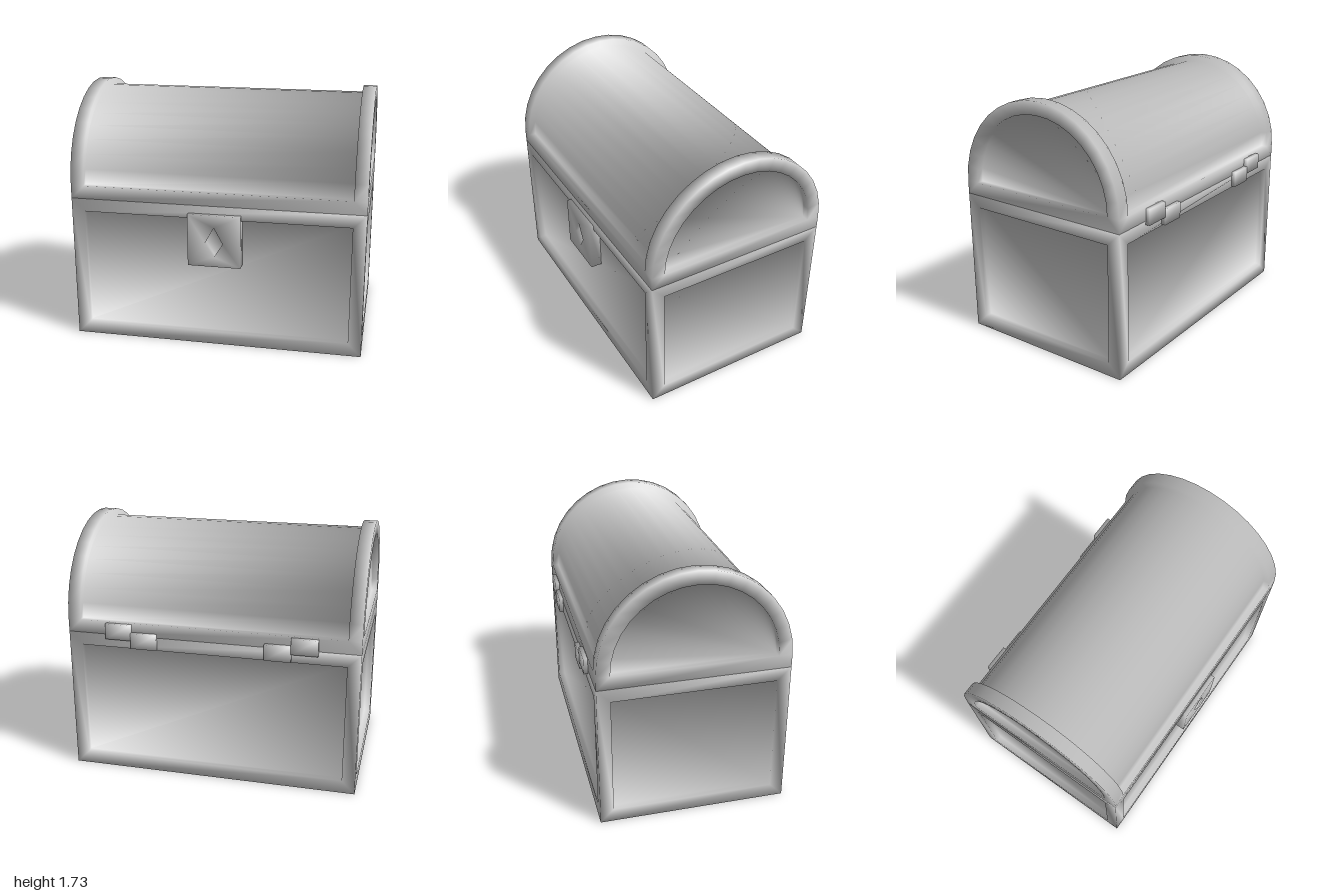
import * as THREE from 'three';

const W = 1, D = 0.636, H = 1;        // half width, half depth, body height
const RIM = 0.09, INSET = 0.045;      // frame width and panel recess
const SPRING = H + RIM;               // height where the lid arch begins
const V = (x, y, z) => new THREE.Vector3(x, y, z);

// Collects convex faces and gives them soft normals shared by touching corners
class Soft {
  constructor() { this.tris = []; this.sums = new Map(); }
  key(p) { return [p.x, p.y, p.z].map(n => Math.round(n * 1e4)).join(); }
  face(points, out) {
    const n = V(0, 0, 0);
    points.forEach((p, i) => n.add(p.clone().cross(points[(i + 1) % points.length])));
    n.normalize();
    let loop = points;
    if (n.dot(out) < 0) { n.negate(); loop = [...points].reverse(); }
    for (const p of loop) {
      const k = this.key(p);
      if (!this.sums.has(k)) this.sums.set(k, V(0, 0, 0));
      this.sums.get(k).add(n);
    }
    for (let i = 1; i < loop.length - 1; i++) this.tris.push(loop[0], loop[i], loop[i + 1]);
  }
  mesh(name, material) {
    const pos = [], nor = [];
    for (const p of this.tris) {
      const n = this.sums.get(this.key(p)).clone().normalize();
      pos.push(p.x, p.y, p.z);
      nor.push(n.x, n.y, n.z);
    }
    const g = new THREE.BufferGeometry();
    g.setAttribute('position', new THREE.Float32BufferAttribute(pos, 3));
    g.setAttribute('normal', new THREE.Float32BufferAttribute(nor, 3));
    const m = new THREE.Mesh(g, material);
    m.name = name;
    return m;
  }
}

// Box whose sides may be framed, recessed panels
function panelBox(center, half, framed, skip = () => false) {
  const s = new Soft(), axes = ['x', 'y', 'z'];
  axes.forEach((a, i) => [-1, 1].forEach(sign => {
    if (skip(a, sign)) return;
    const b = axes[(i + 1) % 3], c = axes[(i + 2) % 3];
    const ring = (rim, depth) => [[-1, -1], [1, -1], [1, 1], [-1, 1]].map(([u, v]) => {
      const p = center.clone();
      p[a] += sign * (half[a] - depth);
      p[b] += u * (half[b] - rim);
      p[c] += v * (half[c] - rim);
      return p;
    });
    const out = V(0, 0, 0);
    out[a] = sign;
    const outer = ring(0, 0);
    if (!framed(a, sign)) { s.face(outer, out); return; }
    const lip = ring(RIM, 0), panel = ring(RIM, INSET);
    for (let k = 0; k < 4; k++) {
      const j = (k + 1) % 4;
      s.face([outer[k], outer[j], lip[j], lip[k]], out);
      const inward = center.clone().sub(lip[k].clone().add(lip[j]).multiplyScalar(0.5));
      inward[a] = 0;
      s.face([lip[k], lip[j], panel[j], panel[k]], inward);
    }
    s.face(panel, out);
  }));
  return s;
}

function buildLid(material) {
  const s = new Soft(), N = 18, xi = W - RIM, up = V(0, 1, 0);
  const at = (x, r, i) => {
    const t = Math.PI * i / N;
    return V(x, SPRING + r * Math.sin(t), r * Math.cos(t));
  };
  const mid = D - INSET, inner = D - RIM;
  for (let i = 0; i < N; i++) {
    const t = Math.PI * (i + 0.5) / N, radial = V(0, Math.sin(t), Math.cos(t));
    // barrel top
    s.face([at(-xi, mid, i), at(xi, mid, i), at(xi, mid, i + 1), at(-xi, mid, i + 1)], radial);
    for (const e of [-1, 1]) {
      const strip = (x0, r0, x1, r1, out) =>
        s.face([at(e * x0, r0, i), at(e * x1, r1, i), at(e * x1, r1, i + 1), at(e * x0, r0, i + 1)], out);
      strip(xi, D, xi, mid, V(-e, 0, 0));                        // step down to the barrel
      strip(W, D, xi, D, radial);                                // top of the arch
      strip(W, D, W, inner, V(e, 0, 0));                         // end of the arch
      strip(W, inner, W - INSET, inner, radial.clone().negate()); // recess wall
    }
  }
  for (const e of [-1, 1]) {
    // recessed half-round end panel and the bar below it
    const out = V(e, 0, 0), x = e * W, xp = e * (W - INSET);
    s.face(Array.from({ length: N + 1 }, (_, i) => at(xp, inner, i)), out);
    s.face([at(x, inner, 0), at(x, inner, N), at(xp, inner, N), at(xp, inner, 0)], up);
    s.face([V(x, H, D), V(x, H, -D), at(x, inner, N), at(x, inner, 0)], out);
    for (const f of [-1, 1]) s.face([V(x, H, f * D), V(x, SPRING, f * D), V(x, SPRING, f * inner)], out);
  }
  for (const f of [-1, 1]) {
    // long lower bars at front and back
    const out = V(0, 0, f), z = f * D;
    s.face([V(-W, H, z), V(W, H, z), V(xi, SPRING, z), V(-xi, SPRING, z)], out);
    for (const e of [-1, 1]) s.face([V(e * W, H, z), V(e * W, SPRING, z), V(e * xi, SPRING, z)], out);
    s.face([V(-xi, SPRING, z), V(xi, SPRING, z), V(xi, SPRING, f * mid), V(-xi, SPRING, f * mid)], up);
  }
  s.face([V(-W, H, -D), V(W, H, -D), V(W, H, D), V(-W, H, D)], V(0, -1, 0));
  return s.mesh('lid', material);
}

function buildLock(material) {
  const zf = 0.668, zb = D - INSET, cy = 0.765, h = 0.18, out = V(0, 0, 1);
  const s = panelBox(V(0, cy, (zf + zb) / 2), V(h, h, (zf - zb) / 2), () => false,
    (a, sign) => a === 'z' && sign > 0);
  const c = [[-h, h], [h, h], [h, -h], [-h, -h]].map(([x, y]) => V(x, cy + y, zf));
  // kite-shaped keyhole
  const kite = z => [[0, 0.86], [0.06, 0.75], [0, 0.655], [-0.06, 0.75]].map(([x, y]) => V(x, y, z));
  const k = kite(zf), floor = kite(zf - 0.04);
  for (let i = 0; i < 4; i++) {
    const j = (i + 1) % 4;
    s.face([c[i], c[j], k[i]], out);
    s.face([c[j], k[j], k[i]], out);
    const inward = V(0, 0.757, 0).sub(k[i].clone().add(k[j]).multiplyScalar(0.5)).setZ(0);
    s.face([k[i], k[j], floor[j], floor[i]], inward);
  }
  s.face(floor, out);
  return s.mesh('lock', material);
}

export function createModel() {
  const gray = new THREE.MeshStandardMaterial({ color: 0xcccccc });
  gray.name = 'light gray';
  const chest = new THREE.Group();
  chest.name = 'chest';

  const body = panelBox(V(0, H / 2, 0), V(W, H / 2, D), (a, sign) => !(a === 'y' && sign > 0));
  chest.add(body.mesh('body', gray), buildLid(gray), buildLock(gray));

  // hinges: outer leaf on the lid, inner leaf on the body
  for (const side of [-1, 1]) {
    const hinge = new THREE.Group();
    hinge.name = side > 0 ? 'leftHinge' : 'rightHinge';
    for (const [name, x, y] of [['lidLeaf', 0.635, 1.028], ['bodyLeaf', 0.458, 0.973]]) {
      const leaf = panelBox(V(side * x, y, -0.635), V(0.089, 0.054, 0.03), () => false);
      hinge.add(leaf.mesh(name, gray));
    }
    chest.add(hinge);
  }
  return chest;
}
